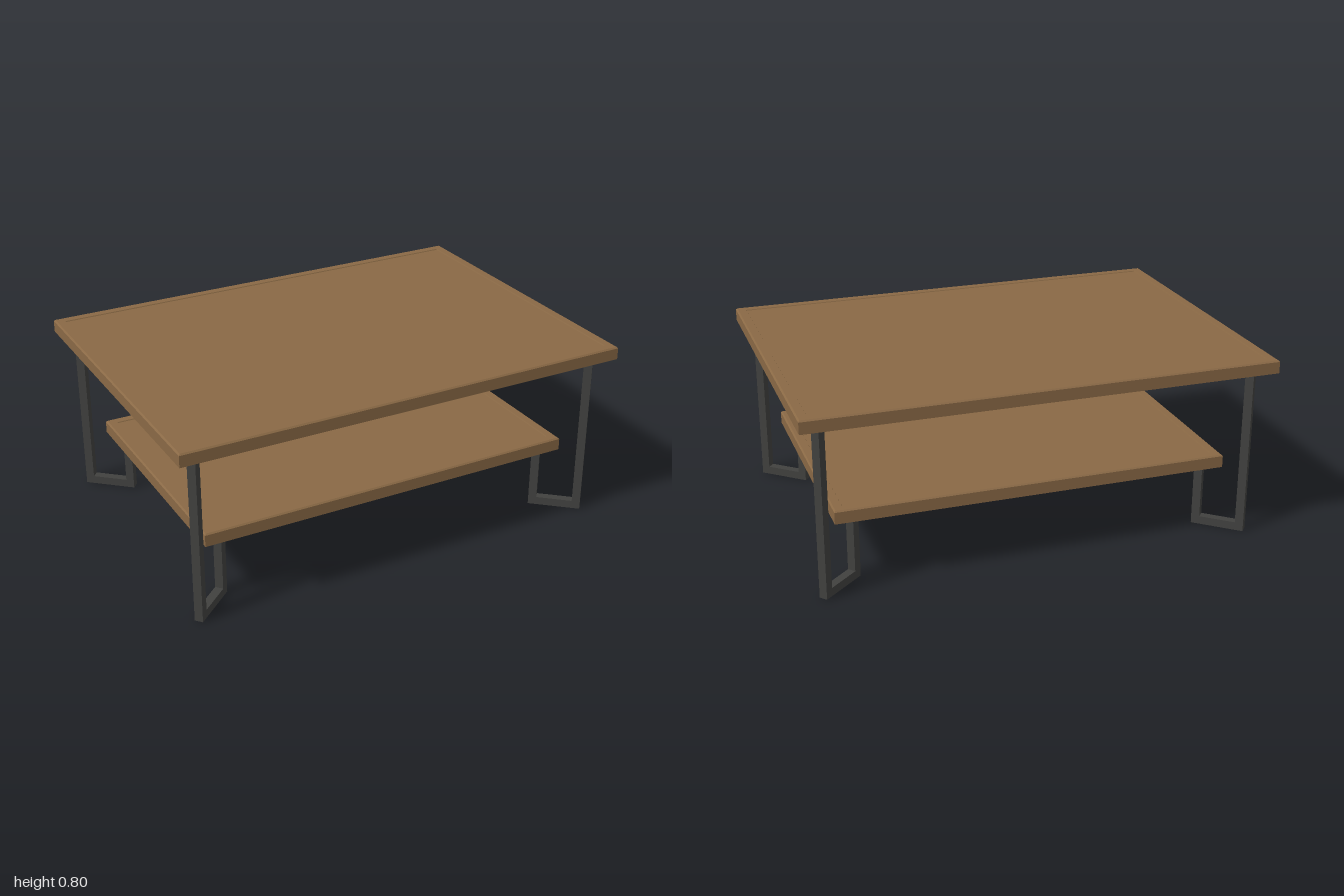
import * as THREE from 'three';

const wood = new THREE.MeshStandardMaterial({ color: 0x8a6945 });
wood.name = 'brown wood';
const metal = new THREE.MeshStandardMaterial({ color: 0x41413f });
metal.name = 'dark metal';

// Rectangular board with softened upper edges and a shallow recessed panel inside a rim
function board(name, halfX, halfZ, bottom, top) {
  const bevel = 0.006, rim = 0.04, recess = 0.004;
  // Each section is [inset from the outer edge, height]
  const sections = [
    [0, bottom], [0, top - bevel], [bevel, top],
    [rim, top], [rim + 0.002, top - recess],
  ];
  const loops = sections.map(([inset, y]) => {
    const x = halfX - inset, z = halfZ - inset;
    return [[-x, y, z], [x, y, z], [x, y, -z], [-x, y, -z]];
  });
  const positions = [];
  const quad = (a, b, c, d) => positions.push(...a, ...b, ...c, ...a, ...c, ...d);
  for (let i = 0; i < loops.length - 1; i++) {
    for (let j = 0; j < 4; j++) {
      const k = (j + 1) % 4;
      quad(loops[i][j], loops[i][k], loops[i + 1][k], loops[i + 1][j]);
    }
  }
  quad(...loops[loops.length - 1]);
  quad(...[...loops[0]].reverse());
  const geometry = new THREE.BufferGeometry();
  geometry.setAttribute('position', new THREE.Float32BufferAttribute(positions, 3));
  geometry.computeVertexNormals();
  const mesh = new THREE.Mesh(geometry, wood);
  mesh.name = name;
  return mesh;
}

// J-shaped square-bar leg: tall outer post, floor bar and short inner post
function legGeometry(span, bar, tall, low) {
  const h = bar / 2;
  const outline = [
    [-h, 0], [span + h, 0], [span + h, low], [span - h, low],
    [span - h, bar], [h, bar], [h, tall], [-h, tall],
  ].map(([x, y]) => new THREE.Vector2(x, y));
  const geometry = new THREE.ExtrudeGeometry(new THREE.Shape(outline), { depth: bar, bevelEnabled: false });
  geometry.translate(0, 0, -h);
  return geometry;
}

export function createModel() {
  const model = new THREE.Group();
  model.name = 'coffeeTable';
  model.add(board('tableTop', 1, 0.705, 0.74, 0.796));
  model.add(board('lowerShelf', 0.85, 0.552, 0.273, 0.33));

  // Legs run diagonally inward from beneath the top to beneath the shelf
  const outerX = 0.914, outerZ = 0.625, runX = 0.146, runZ = 0.127;
  const geometry = legGeometry(Math.hypot(runX, runZ), 0.036, 0.742, 0.275);
  for (const sx of [-1, 1]) {
    for (const sz of [-1, 1]) {
      const leg = new THREE.Mesh(geometry, metal);
      leg.name = (sz > 0 ? 'front' : 'back') + (sx > 0 ? 'Left' : 'Right') + 'Leg';
      leg.position.set(sx * outerX, 0, sz * outerZ);
      leg.rotation.y = Math.atan2(sz * runZ, -sx * runX);
      model.add(leg);
    }
  }
  return model;
}
